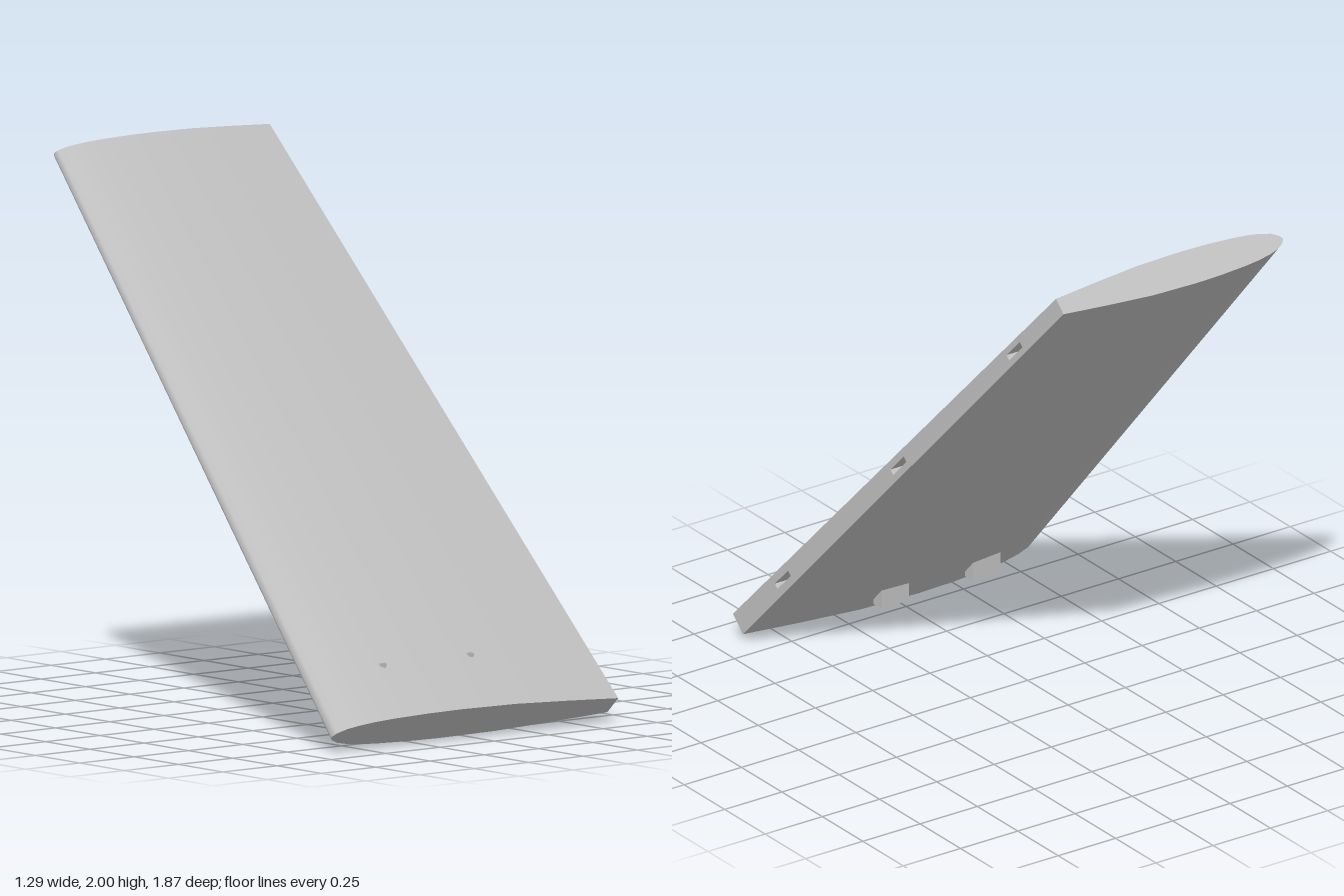
import * as THREE from 'three';

const LENGTH = 2.589;      // span along the panel
const TAPER = 0.247;       // relative shrink from bottom to top
const LEAN = -0.749;       // backward tilt

// Upper half of the section: chord position, half thickness
const upper = [[-0.65, 0], [-0.637, 0.02], [-0.6, 0.041], [-0.55, 0.055], [-0.48, 0.067], [-0.4, 0.075],
  [-0.25, 0.083], [-0.1, 0.086], [0.15, 0.081], [0.4, 0.063], [0.645, 0.042]];
const m = upper.length - 1;
const ring = [...upper, ...upper.slice(1).reverse().map(([x, z]) => [x, -z]), upper[0]];
const scaleAt = s => 1 - TAPER * s / LENGTH;
const mix = (a, b, t) => a + (b - a) * t;

// Point on strip i of the skin, t across the strip and s along the span
function skinPoint(i, t, s) {
  const k = scaleAt(s), a = ring[i], b = ring[i + 1];
  return new THREE.Vector3(mix(a[0], b[0], t) * k, s, mix(a[1], b[1], t) * k);
}

function stripNormal(i) {
  const a = ring[i], b = ring[i + 1];
  const n = new THREE.Vector3(a[1] - b[1], 0, b[0] - a[0]).normalize();
  n.y = TAPER / LENGTH * (n.x * a[0] + n.z * a[1]);
  return n.normalize();
}

// Normal shared with the neighbouring strip, kept sharp at the flat trailing edge
function sharedNormal(i, neighbour) {
  const count = ring.length - 1, j = (neighbour + count) % count;
  if (i === m || j === m) return stripNormal(i);
  return stripNormal(i).add(stripNormal(j)).normalize();
}

// One flat strip of the skin, with optional cut-outs given as (t, s) outlines
function skinStrip(i, holes) {
  const shape = new THREE.Shape([[0, 0], [1, 0], [1, LENGTH], [0, LENGTH]].map(p => new THREE.Vector2(...p)));
  shape.holes = holes.map(h => new THREE.Path(h.map(p => new THREE.Vector2(...p))));
  const geo = new THREE.ShapeGeometry(shape), pos = geo.attributes.position, nor = geo.attributes.normal;
  const n0 = sharedNormal(i, i - 1), n1 = sharedNormal(i, i + 1);
  for (let v = 0; v < pos.count; v++) {
    const t = pos.getX(v), p = skinPoint(i, t, pos.getY(v));
    const n = n0.clone().lerp(n1, t).normalize();
    pos.setXYZ(v, p.x, p.y, p.z);
    nor.setXYZ(v, n.x, n.y, n.z);
  }
  return geo;
}

// Inward-facing walls between two outlines, with an optional floor
function pocketWalls(a, b, floor) {
  const pts = [];
  a.forEach((p, i) => {
    const j = (i + 1) % a.length;
    pts.push(p, a[j], b[j], p, b[j], b[i]);
    if (floor && i > 0 && j > 0) pts.push(b[0], b[i], b[j]);
  });
  const geo = new THREE.BufferGeometry().setFromPoints(pts);
  geo.computeVertexNormals();
  return geo;
}

export function createModel() {
  const grey = new THREE.MeshStandardMaterial({ color: 0xc0c0c0 });
  grey.name = 'lightGrey';
  const model = new THREE.Group();
  model.name = 'taperedPanel';
  const panel = new THREE.Group();
  panel.name = 'panel';
  panel.rotation.x = LEAN;
  panel.position.set(0, 0.06, 0.8775);
  model.add(panel);
  const add = (name, geo, parent = panel) => {
    const mesh = new THREE.Mesh(geo, grey);
    mesh.name = name;
    parent.add(mesh);
    return mesh;
  };
  const holes = ring.map(() => []);

  // Hinge slots in the trailing edge
  for (const s of [0.361, 1.291, 2.225]) {
    const w = 0.011 / (0.084 * scaleAt(s)), h = 0.053;
    const outline = [[0.5 - w, s - h], [0.5 + w, s - h], [0.5 + w, s + h], [0.5 - w, s + h]];
    holes[m].push(outline);
    const outer = outline.map(([t, y]) => skinPoint(m, t, y));
    const inner = outer.map(p => p.clone().add(new THREE.Vector3(-0.08, 0, 0)));
    add('hingeSlot', pocketWalls(outer, inner, true));
  }

  // Half-round vertical holes, each beside a horn block
  for (const x of [-0.33, 0.07]) {
    const k = scaleAt(0.23);
    const i = upper.findIndex((p, n) => n < m && x / k > p[0] && x / k < upper[n + 1][0]);
    const [x0, x1] = [upper[i][0], upper[i + 1][0]];
    const top = [], bottom = [], outer = [], inner = [];
    for (let a = 0; a <= 8; a++) {
      const ang = Math.PI * (1 + a / 8);
      const px = x + 0.016 * Math.cos(ang), s = 0.238 + 0.021 * Math.sin(ang);
      const t = (px / scaleAt(s) - x0) / (x1 - x0);
      const p = skinPoint(i, t, s);
      const low = s - 2 * p.z * Math.abs(Math.cos(LEAN) / Math.sin(LEAN));
      const tLow = 1 - (px / scaleAt(low) - x0) / (x1 - x0);
      top.push([t, s]);
      bottom.push([tLow, low]);
      outer.push(p);
      inner.push(skinPoint(2 * m - i, tLow, low));
    }
    holes[i].push(top);
    holes[2 * m - i].push(bottom);
    add('throughHole', pocketWalls(outer, inner, false));
    add('hornBlock', new THREE.BoxGeometry(0.12, 0.1, 0.05), model).position.set(x, 0.09, 0.745);
  }

  // Skin strips
  const skin = new THREE.Group();
  skin.name = 'skin';
  panel.add(skin);
  for (let i = 0; i < ring.length - 1; i++) {
    add(i === m ? 'trailingEdge' : 'skinStrip', skinStrip(i, holes[i]), skin);
  }

  // End caps
  const section = new THREE.Shape(ring.slice(0, -1).map(([x, z]) => new THREE.Vector2(x, z)));
  const bottomCap = new THREE.ShapeGeometry(section).rotateX(Math.PI / 2);
  add('bottomCap', bottomCap);
  const k = scaleAt(LENGTH);
  const topCap = new THREE.ShapeGeometry(section).rotateX(-Math.PI / 2).scale(k, 1, k).translate(0, LENGTH, 0);
  add('topCap', topCap);

  return model;
}
